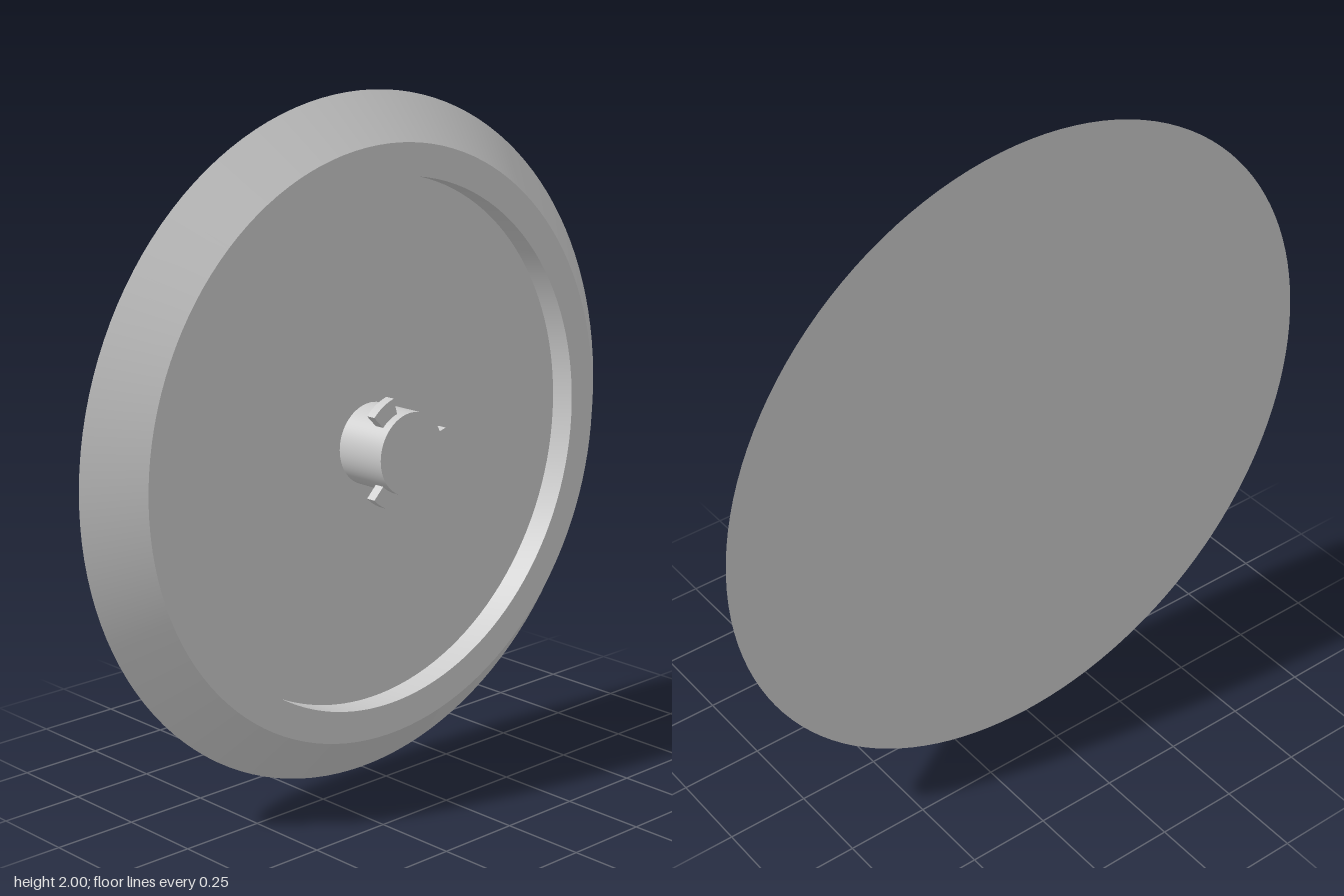
import * as THREE from 'three';
import { toCreasedNormals } from 'three/addons/utils/BufferGeometryUtils.js';

const material = new THREE.MeshStandardMaterial({ color: 0xcccccc });

// Revolve an [radius, z] profile around the z axis, keeping edges sharp
function turned(name, profile, segments) {
  const points = profile.map(([r, z]) => new THREE.Vector2(r, z));
  const geometry = new THREE.LatheGeometry(points, segments).rotateX(Math.PI / 2);
  const mesh = new THREE.Mesh(toCreasedNormals(geometry, 0.5), material);
  mesh.name = name;
  return mesh;
}

// Ring sector that sticks out of the hub
function lug(angle) {
  const half = 0.26;
  const shape = new THREE.Shape();
  shape.absarc(0, 0, 0.168, -half, half, false);
  shape.absarc(0, 0, 0.11, half, -half, true);
  shape.closePath();
  const geometry = new THREE.ExtrudeGeometry(shape, { depth: 0.03, bevelEnabled: false, curveSegments: 8 });
  const mesh = new THREE.Mesh(toCreasedNormals(geometry, 0.5), material);
  mesh.name = 'hubLug';
  mesh.position.z = 0.047;
  mesh.rotation.z = angle;
  return mesh;
}

export function createModel() {
  const model = new THREE.Group();
  model.name = 'coverDisc';
  const floorZ = -0.064;

  // Flat back, bevelled rim, recessed front floor
  model.add(turned('dish', [
    [0, -0.104], [1, -0.104], [0.864, 0.013], [0.77, 0.013], [0.77, floorZ], [0, floorZ],
  ], 128));

  // Central hub rising from the recess
  model.add(turned('hub', [[0.12, floorZ], [0.12, 0.104], [0, 0.104]], 64));

  // Three locking lugs around the hub
  for (let i = 0; i < 3; i++) model.add(lug((i * Math.PI * 2) / 3));

  model.position.y = 1;
  const root = new THREE.Group();
  root.add(model);
  return root;
}
